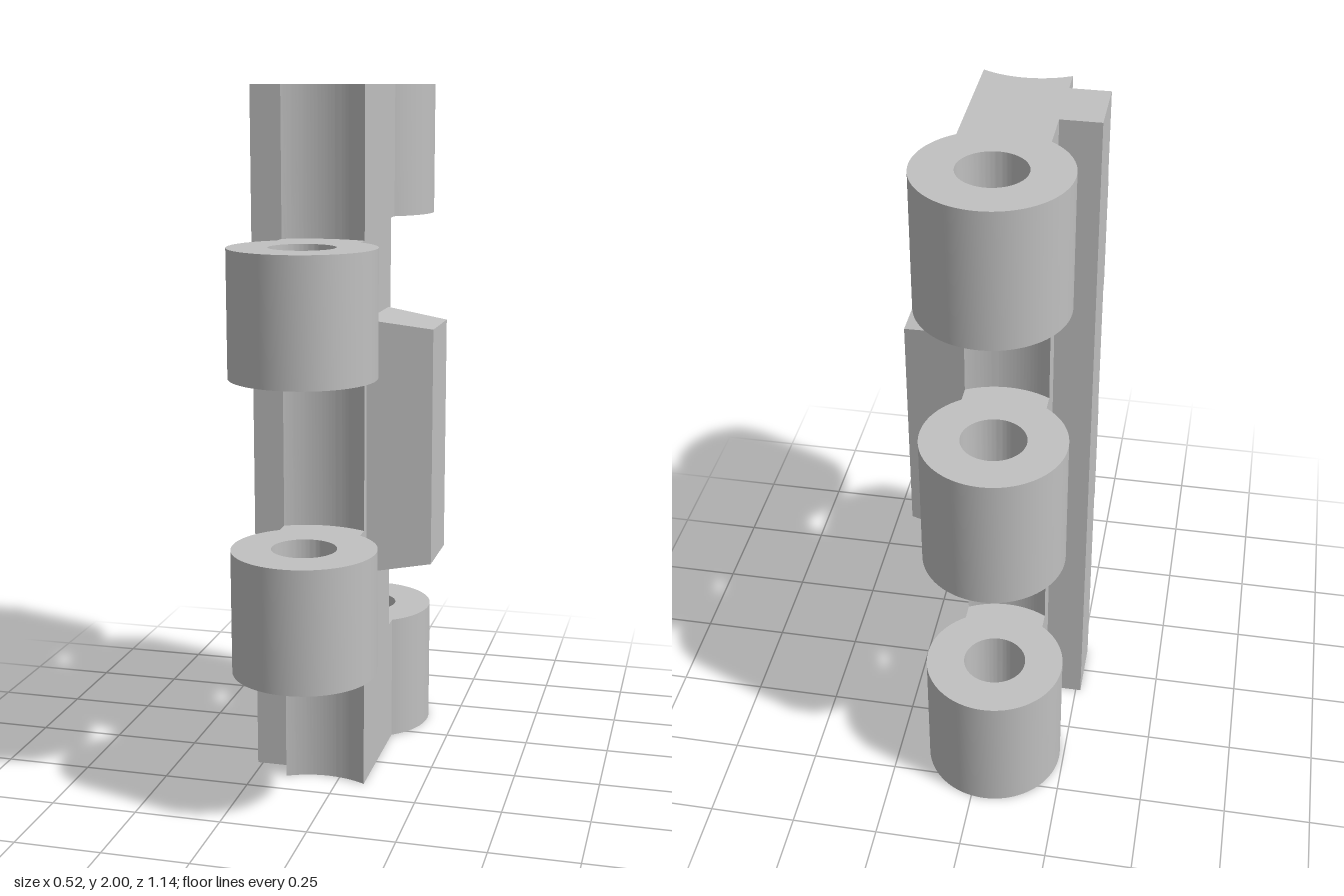
import * as THREE from 'three';
import { toCreasedNormals } from 'three/addons/utils/BufferGeometryUtils.js';

const CX = -0.0375;      // x of the pin axes
const CZ = 0.3725;       // z distance of the pin axes from the middle
const W = 0.1175;        // half width of the body
const BARREL = 0.2, HOLE = 0.09, CLEAR = 0.24;
const A = Math.asin(W / BARREL), B = Math.asin(W / CLEAR);
const Q = Math.PI / 2;

// Extrude a plan outline (shape y = -z) upwards from y0 to y1
function extrudeUp(shape, y0, y1) {
  const g = new THREE.ExtrudeGeometry(shape, { depth: y1 - y0, bevelEnabled: false, curveSegments: 48 });
  g.rotateX(-Q);
  g.translate(0, y0, 0);
  return toCreasedNormals(g, 0.5);
}

// Body plan: hollowed front and back, square rib on one side
function bodyShape() {
  const s = new THREE.Shape();
  s.absarc(CX, -CZ, CLEAR, Q + B, Q - B, true);
  s.absarc(CX, CZ, CLEAR, -Q + B, -Q - B, true);
  s.lineTo(CX - W, 0.09);
  s.lineTo(-0.265, 0.09);
  s.lineTo(-0.265, -0.09);
  s.lineTo(CX - W, -0.09);
  s.closePath();
  return s;
}

// Knuckle plan: drilled barrel with a web reaching the body hollow
function knuckleShape() {
  const s = new THREE.Shape();
  s.absarc(0, 0, BARREL, Q - A, Q + A, true);
  s.absarc(0, 0, CLEAR, Q + B, Q - B, true);
  s.closePath();
  const hole = new THREE.Path();
  hole.absarc(0, 0, HOLE, 0, Math.PI * 2, false);
  s.holes.push(hole);
  return s;
}

export function createModel() {
  const model = new THREE.Group();
  model.name = 'hingeLink';
  const grey = new THREE.MeshStandardMaterial({ color: 0xc0c0c0 });
  grey.name = 'grey';

  const add = (name, geometry) => {
    const mesh = new THREE.Mesh(geometry, grey);
    mesh.name = name;
    model.add(mesh);
    return mesh;
  };

  add('body', extrudeUp(bodyShape(), 0, 2));

  // Two knuckles in front, three behind
  const plan = knuckleShape();
  for (const [y0, y1] of [[0.42, 0.768], [1.24, 1.585]]) {
    add('frontKnuckle', extrudeUp(plan, y0, y1)).position.set(CX, 0, CZ);
  }
  for (const [y0, y1] of [[0, 0.38], [0.8, 1.2], [1.622, 2]]) {
    const knuckle = add('backKnuckle', extrudeUp(plan, y0, y1));
    knuckle.position.set(CX, 0, -CZ);
    knuckle.rotation.y = Math.PI;
  }

  // Tapered guide block on the left side
  const block = new THREE.BoxGeometry(0.18, 0.726, 0.272);
  const p = block.attributes.position;
  for (let i = 0; i < p.count; i++) {
    if (p.getX(i) > 0) {
      p.setY(i, Math.sign(p.getY(i)) * 0.337);
      p.setZ(i, Math.sign(p.getZ(i)) * 0.1);
    }
  }
  block.computeVertexNormals();
  add('guideBlock', block).position.set(0.17, 1.002, 0);

  return model;
}
